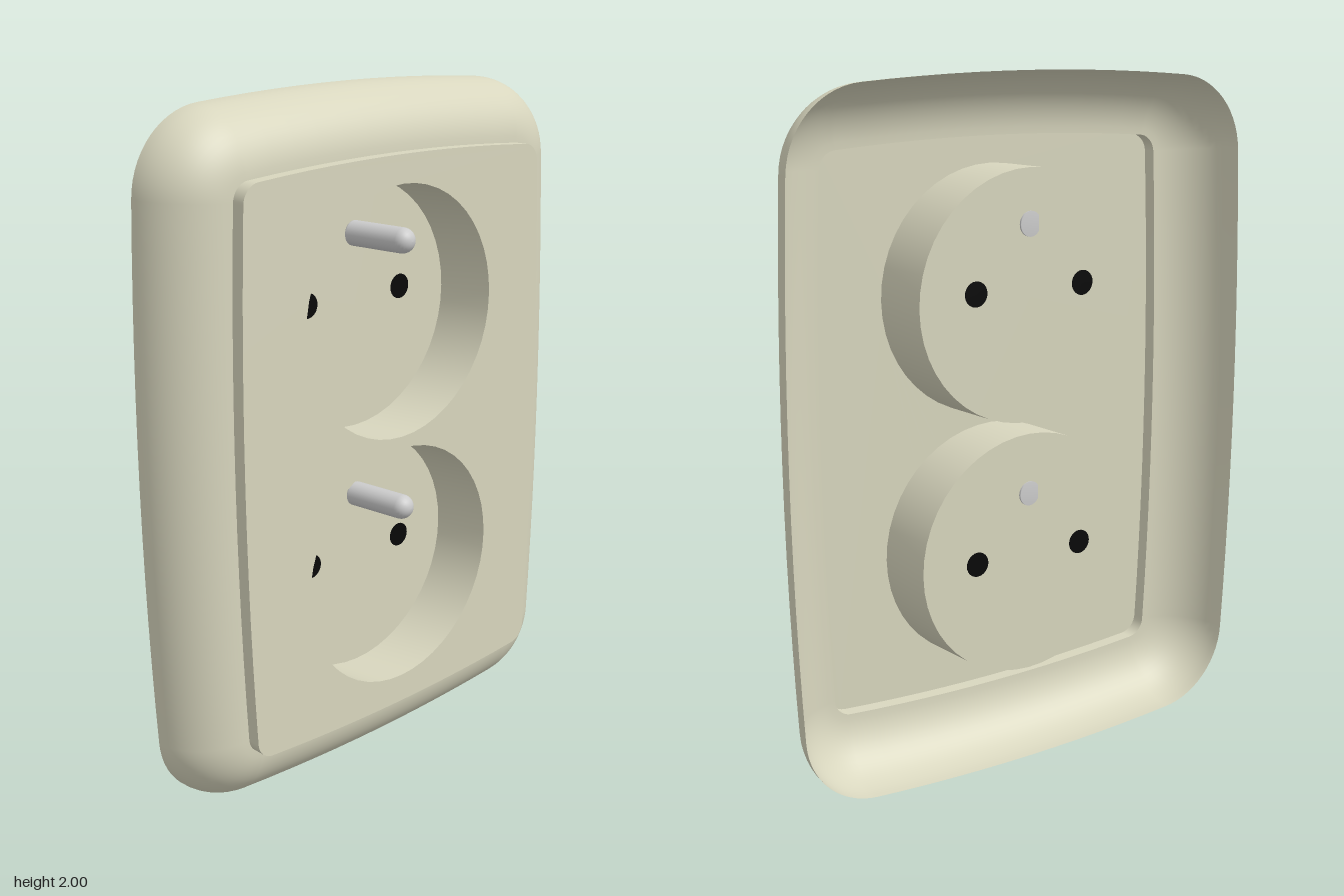
import * as THREE from 'three';

const shellMat = new THREE.MeshStandardMaterial({ color: 0xd8d6be, side: THREE.DoubleSide });
const pinMat = new THREE.MeshStandardMaterial({ color: 0xcccccc });
const holeMat = new THREE.MeshStandardMaterial({ color: 0x080808 });

const BACK = -0.125, STEP = 0.05, FACE = 0.09, FLOOR = -0.085;
const INSET = 0.18, CUP_R = 0.36, SHIFT = -0.018;

// Bulged rounded rectangle, offset inwards: every side and corner is an arc
// that keeps its centre while its radius shrinks.
function outline(inset) {
  const sideEnd = 0.0537, topEnd = Math.PI / 2 - 0.0792;
  const arcs = [
    { cx: -13.365, cy: 0, r: 14.125, from: 0, to: sideEnd, n: 6 },
    { cx: 0.505, cy: 0.745, r: 0.235, from: sideEnd, to: topEnd, n: 14 },
    { cx: 0, cy: -5.62, r: 6.62, from: topEnd, to: Math.PI / 2, n: 6 },
  ];
  const quarter = [];
  for (const a of arcs) {
    for (let i = 0; i < a.n; i++) {
      const t = a.from + (a.to - a.from) * i / a.n;
      quarter.push(new THREE.Vector2(a.cx + (a.r - inset) * Math.cos(t), a.cy + (a.r - inset) * Math.sin(t)));
    }
  }
  quarter.push(new THREE.Vector2(0, 1 - inset));
  // Mirror to the left half, then to the lower half
  const left = quarter.slice(0, -1).reverse().map(p => new THREE.Vector2(-p.x, p.y));
  const upper = [...quarter, ...left];
  const lower = upper.slice(1, -1).reverse().map(p => new THREE.Vector2(p.x, -p.y));
  return [...upper, ...lower].map(p => new THREE.Vector2(p.x, p.y + 1));
}

function circle(cx, cy, r, n = 48) {
  return Array.from({ length: n }, (_, i) => {
    const t = i / n * Math.PI * 2;
    return new THREE.Vector2(cx + r * Math.cos(t), cy + r * Math.sin(t));
  });
}

// Smooth skin through closed loops, each { points, z }
function loft(loops) {
  const n = loops[0].points.length, pos = [], idx = [];
  for (const l of loops) for (const p of l.points) pos.push(p.x, p.y, l.z);
  for (let k = 0; k < loops.length - 1; k++) {
    for (let i = 0; i < n; i++) {
      const j = (i + 1) % n;
      const a = k * n + i, b = k * n + j, c = b + n, d = a + n;
      idx.push(a, b, c, a, c, d);
    }
  }
  const g = new THREE.BufferGeometry();
  g.setAttribute('position', new THREE.Float32BufferAttribute(pos, 3));
  g.setIndex(idx);
  g.computeVertexNormals();
  return g;
}

function add(parent, name, geometry, material) {
  const mesh = new THREE.Mesh(geometry, material);
  mesh.name = name;
  parent.add(mesh);
  return mesh;
}

// Recessed cup, slightly skewed, with contact holes and an earth pin
function makeSocket(cy, holeY, pinY) {
  const socket = new THREE.Group();
  add(socket, 'cupWall', loft([
    { points: circle(SHIFT, cy, CUP_R), z: FLOOR },
    { points: circle(0, cy, CUP_R), z: FACE },
  ]), shellMat);
  add(socket, 'cupFloor', new THREE.CircleGeometry(CUP_R, 48), shellMat).position.set(SHIFT, cy, FLOOR);

  for (const side of [-1, 1]) {
    const g = new THREE.CylinderGeometry(0.036, 0.036, 0.004, 24).rotateX(Math.PI / 2);
    add(socket, 'contactHole', g, holeMat).position.set(SHIFT + side * 0.18, holeY, FLOOR);
  }

  // Round-tipped pin leaning along the skewed cup axis
  const r = 0.036, len = 0.125 - FLOOR;
  const profile = [new THREE.Vector2(0, -0.003), new THREE.Vector2(r, -0.003), new THREE.Vector2(r, 0)];
  for (let i = 0; i <= 8; i++) {
    const t = i / 8 * Math.PI / 2;
    profile.push(new THREE.Vector2(i === 8 ? 0 : r * Math.cos(t), len - r + r * Math.sin(t)));
  }
  const pin = add(socket, 'earthPin', new THREE.LatheGeometry(profile, 24).rotateX(Math.PI / 2), pinMat);
  pin.position.set(SHIFT, pinY, FLOOR);
  pin.rotation.y = Math.atan2(-SHIFT, FACE - FLOOR);
  return socket;
}

export function createModel() {
  const outlet = new THREE.Group();
  outlet.name = 'doubleWallSocket';

  // Rounded outer frame, an open shell with a quarter-round profile
  const rings = [];
  for (let i = 0; i <= 14; i++) {
    const t = i / 14 * Math.PI / 2;
    rings.push({ points: outline(INSET * (1 - Math.cos(t))), z: BACK + (STEP - BACK) * Math.sin(t) });
  }
  add(outlet, 'frame', loft(rings), shellMat);

  // Raised cover plate: rim wall and pierced face
  const edge = outline(INSET);
  add(outlet, 'plateRim', loft([{ points: edge, z: STEP }, { points: edge, z: FACE }]), shellMat);

  const sockets = [
    { name: 'upperSocket', cy: 1.38, holeY: 1.405, pinY: 1.585 },
    { name: 'lowerSocket', cy: 0.625, holeY: 0.625, pinY: 0.807 },
  ];
  const face = new THREE.Shape(edge);
  for (const s of sockets) face.holes.push(new THREE.Path(circle(0, s.cy, CUP_R)));
  add(outlet, 'plateFace', new THREE.ShapeGeometry(face), shellMat).position.z = FACE;

  for (const s of sockets) {
    const socket = makeSocket(s.cy, s.holeY, s.pinY);
    socket.name = s.name;
    outlet.add(socket);
  }

  // The plate faces +x
  outlet.rotation.y = Math.PI / 2;
  const model = new THREE.Group();
  model.name = 'model';
  model.add(outlet);
  return model;
}
